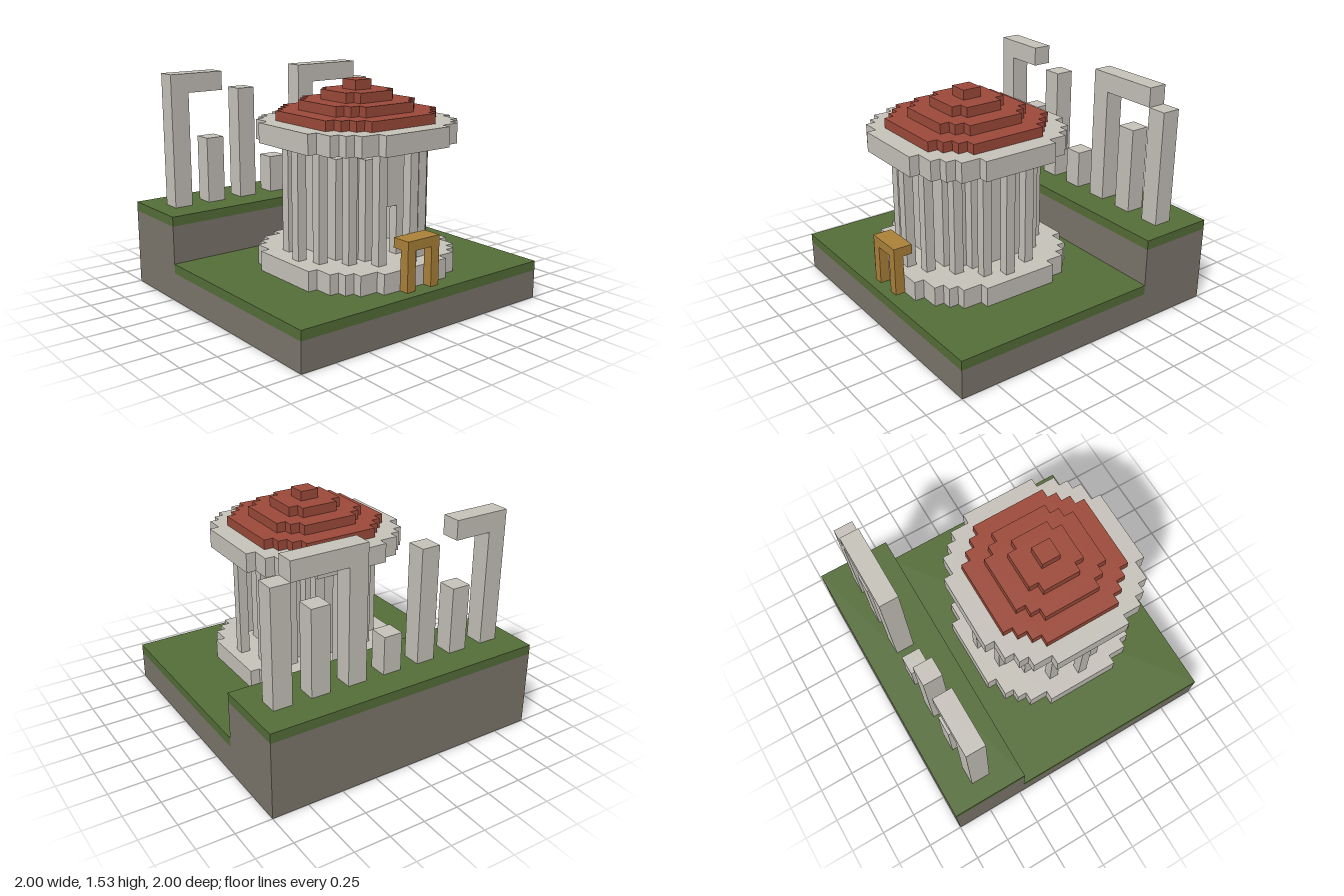
import * as THREE from 'three';

const mat = (name, color) => {
  const m = new THREE.MeshStandardMaterial({ color, flatShading: true });
  m.name = name;
  return m;
};

export function createModel() {
  const grass = mat('grass', 0x566f39);
  const earth = mat('earth', 0x7e786d);
  const marble = mat('marble', 0xc9c5bd);
  const tile = mat('roof tile', 0x9e4b3b);
  const wood = mat('golden wood', 0xae833a);

  // Everything is laid out in blocks; 30 blocks make 2 units
  const model = new THREE.Group();
  model.name = 'ruinedTemple';
  model.scale.setScalar(1 / 15);

  const box = (parent, name, material, x0, x1, y0, y1, z0, z1) => {
    const mesh = new THREE.Mesh(new THREE.BoxGeometry(x1 - x0, y1 - y0, z1 - z0), material);
    mesh.position.set((x0 + x1) / 2, (y0 + y1) / 2, (z0 + z1) / 2);
    mesh.name = name;
    parent.add(mesh);
  };

  // Stepped outline of a block disc, from the front edge round to the front edge
  const discOutline = (n) => {
    const pts = [];
    let last = 0;
    for (let j = n - 1; j >= -n; j--) {
      const w = Math.floor(Math.sqrt((n + 0.4) ** 2 - (j + 0.5) ** 2) + 0.5);
      if (w !== last) {
        if (last) pts.push([last, j + 1]);
        pts.push([w, j + 1]);
      }
      last = w;
    }
    pts.push([last, -n]);
    const left = pts.map(([x, z]) => [-x, z]).reverse();
    return [...pts, ...left].map(([x, z]) => new THREE.Vector2(x, z));
  };

  const slab = (parent, name, material, shape, y0, y1) => {
    const geo = new THREE.ExtrudeGeometry(shape, { depth: y1 - y0, bevelEnabled: false });
    geo.rotateX(Math.PI / 2);
    const mesh = new THREE.Mesh(geo, material);
    mesh.position.y = y1;
    mesh.name = name;
    parent.add(mesh);
  };
  const disc = (n) => new THREE.Shape(discOutline(n));

  // Ground with a raised terrace at the back
  box(model, 'lowerEarth', earth, -15, 15, 0, 3, -7, 15);
  box(model, 'lowerGrass', grass, -15, 15, 3, 4, -7, 15);
  box(model, 'terraceEarth', earth, -15, 15, 0, 8, -15, -7);
  box(model, 'terraceGrass', grass, -15, 15, 8, 9, -15, -7);

  // Round temple
  const temple = new THREE.Group();
  temple.name = 'roundTemple';
  temple.position.z = 4;
  model.add(temple);
  slab(temple, 'templeBase', marble, disc(9), 4, 6);
  slab(temple, 'entablature', marble, disc(9), 17, 19);
  [7, 5, 3, 1].forEach((n, i) => slab(temple, 'roofTier', tile, disc(n), 19 + i, 20 + i));

  // Sixteen columns snapped to the block grid
  for (let i = 0; i < 16; i++) {
    const a = (i * Math.PI) / 8;
    const x = Math.floor(7.05 * Math.cos(a) + 1e-6);
    const z = Math.floor(7.05 * Math.sin(a) + 1e-6);
    box(temple, 'column', marble, x, x + 1, 6, 17, z, z + 1);
  }

  // Inner chamber wall, with a doorway in its lower part
  const v = (x, z) => new THREE.Vector2(x, z);
  const lowerWall = new THREE.Shape([
    v(1, 5), ...discOutline(5), v(-1, 5),
    v(-1, 4), ...discOutline(4).reverse(), v(1, 4),
  ]);
  slab(temple, 'chamberLowerWall', marble, lowerWall, 6, 11);
  const upperWall = disc(5);
  upperWall.holes.push(new THREE.Path(discOutline(4)));
  slab(temple, 'chamberUpperWall', marble, upperWall, 11, 16);

  // Entrance frame
  for (const x of [-2, 1]) box(model, 'entrancePost', wood, x, x + 1, 4, 8, 13, 14);
  box(model, 'entranceLintel', wood, -2, 2, 8, 9, 12, 14);

  // Broken colonnade on the terrace: [left edge, top]
  const posts = [[-13, 21], [-9, 16], [-5, 21], [-1, 13], [3, 21], [7, 18], [11, 21]];
  for (const [x, top] of posts) box(model, 'ruinPost', marble, x, x + 2, 9, top, -12, -10);
  for (const [x0, x1] of [[-13, -7], [3, 11]]) box(model, 'ruinLintel', marble, x0, x1, 21, 23, -12, -10);

  return model;
}
